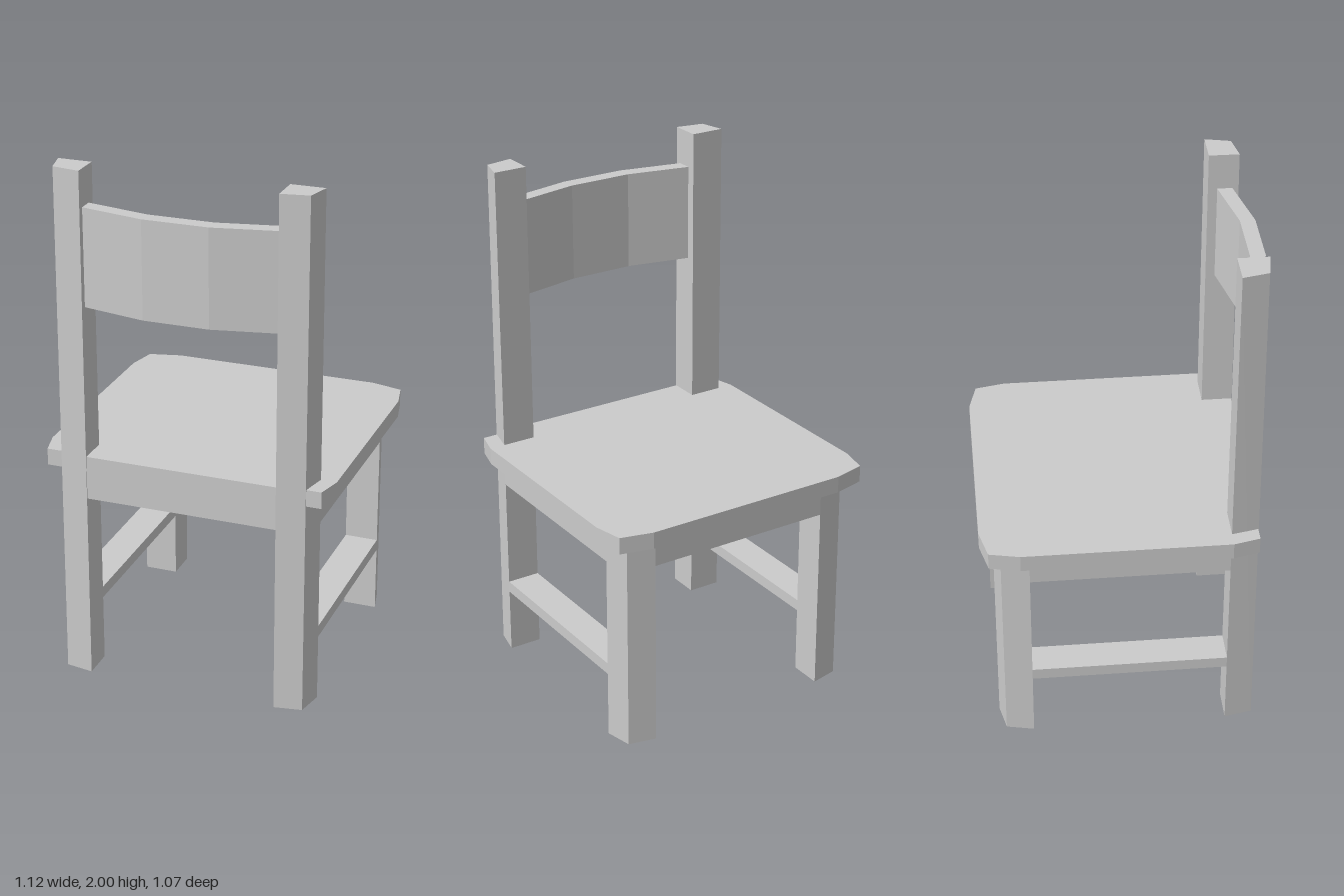
import * as THREE from 'three';

const material = new THREE.MeshStandardMaterial({ color: 0xcccccc, flatShading: true });

// Upright prism: plan outline as [x, z] points, raised from y0 to y1
function prism(name, plan, y0, y1) {
  const shape = new THREE.Shape(plan.map(([x, z]) => new THREE.Vector2(x, -z)));
  const geometry = new THREE.ExtrudeGeometry(shape, { depth: y1 - y0, bevelEnabled: false });
  geometry.rotateX(-Math.PI / 2).translate(0, y0, 0);
  const mesh = new THREE.Mesh(geometry, material);
  mesh.name = name;
  return mesh;
}

const rect = (x0, x1, z0, z1) => [[x0, z0], [x1, z0], [x1, z1], [x0, z1]];
const mirror = (plan, side) => plan.map(([x, z]) => [x * side, z]);
// Full outline from its +x half
const symmetric = (half) => [...half, ...mirror(half, -1).reverse()];

export function createModel() {
  const chair = new THREE.Group();
  chair.name = 'chair';

  // Seat with clipped corners; its rear edge sits flush between the posts
  chair.add(prism('seat', symmetric([
    [0.41, -0.535], [0.535, -0.505], [0.56, -0.39], [0.56, 0.39],
    [0.535, 0.49], [0.38, 0.49], [0.37, 0.507],
  ]), 0.84, 0.905));

  for (const side of [1, -1]) {
    const hand = side > 0 ? 'left' : 'right';
    const add = (name, plan, y0, y1) => {
      const mesh = prism(hand + name, mirror(plan, side), y0, y1);
      chair.add(mesh);
      return mesh;
    };

    // Rear post with a skewed outer corner, thinning slightly toward the top
    const post = add('RearPost', [[0.37, 0.39], [0.5, 0.39], [0.477, 0.497], [0.37, 0.515]], 0, 2);
    const p = post.geometry.attributes.position;
    for (let i = 0; i < p.count; i++) {
      if (p.getZ(i) > 0.45) p.setZ(i, p.getZ(i) - 0.005 * p.getY(i));
    }
    post.geometry.computeVertexNormals();

    // Front leg, side apron and side stretcher
    add('FrontLeg', [[0.37, -0.355], [0.5, -0.355], [0.477, -0.46], [0.37, -0.483]], 0, 0.84);
    add('SideApron', rect(0.37, 0.5, -0.355, 0.39), 0.735, 0.84);
    add('SideStretcher', rect(0.37, 0.5, -0.355, 0.39), 0.26, 0.305);
  }

  // Front and rear aprons
  chair.add(prism('frontApron', rect(-0.37, 0.37, -0.483, -0.355), 0.735, 0.84));
  chair.add(prism('rearApron', rect(-0.37, 0.37, 0.39, 0.507), 0.735, 0.84));

  // Backrest bowed outward in three facets
  chair.add(prism('backrest', symmetric([
    [0.125, 0.475], [0.37, 0.425], [0.37, 0.482], [0.125, 0.532],
  ]), 1.485, 1.86));

  return chair;
}
